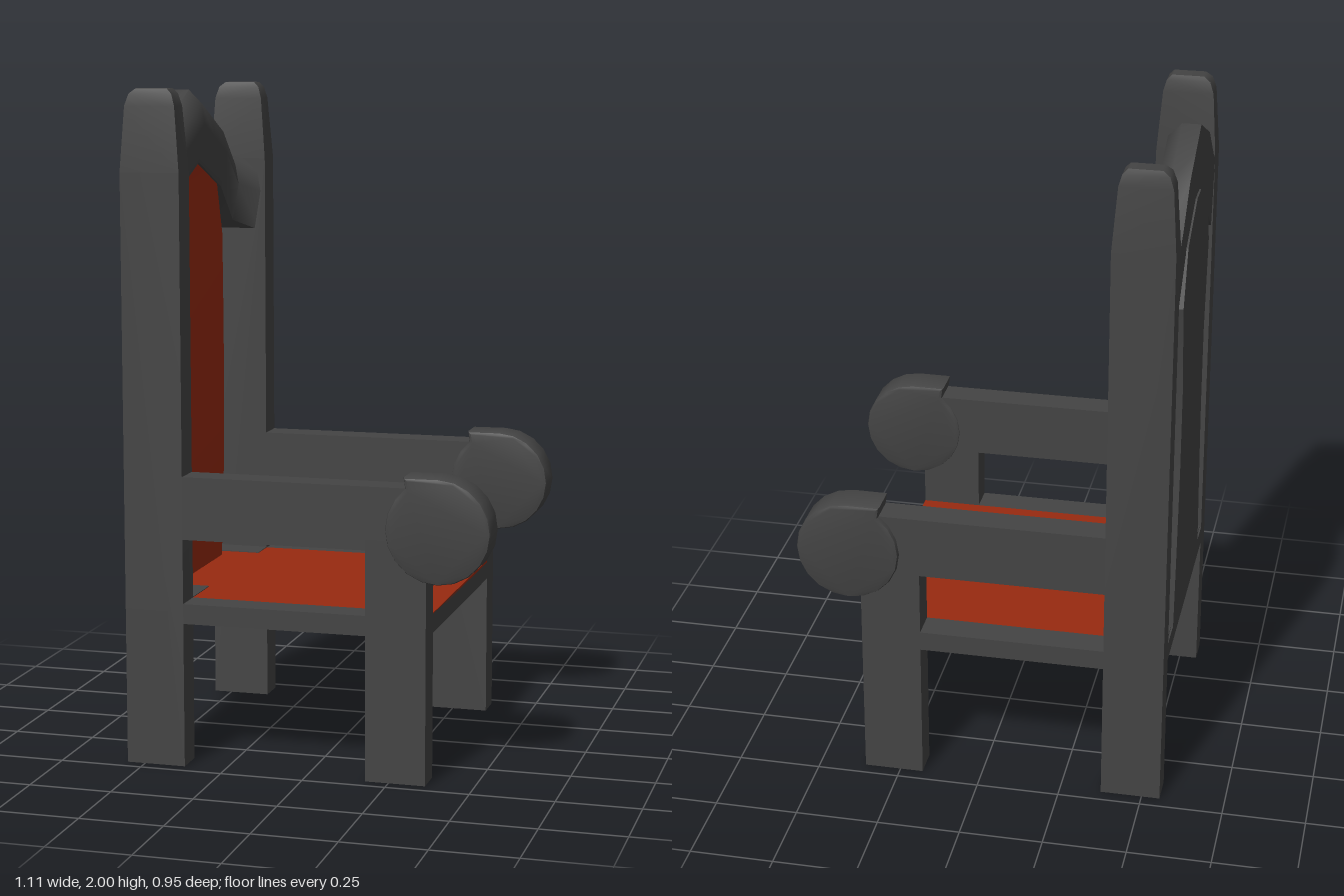
import * as THREE from 'three';
import { toCreasedNormals } from 'three/addons/utils/BufferGeometryUtils.js';

const frameMat = new THREE.MeshStandardMaterial({ color: 0x444444 });
const redMat = new THREE.MeshStandardMaterial({ color: 0x982a10 });

function add(parent, name, geometry, material = frameMat) {
  const mesh = new THREE.Mesh(geometry, material);
  mesh.name = name;
  parent.add(mesh);
  return mesh;
}

// Box given by its limits on each axis
function block(x0, x1, y0, y1, z0, z1) {
  return new THREE.BoxGeometry(x1 - x0, y1 - y0, z1 - z0)
    .translate((x0 + x1) / 2, (y0 + y1) / 2, (z0 + z1) / 2);
}

// Skin over equal-sized rings of [x, y, z] points, capped at both ends
function loft(rings, crease = 0.7) {
  const n = rings[0].length;
  const tris = [];
  for (let r = 0; r < rings.length - 1; r++) {
    for (let i = 0; i < n; i++) {
      const j = (i + 1) % n;
      const [a, b, c, d] = [rings[r][i], rings[r][j], rings[r + 1][j], rings[r + 1][i]];
      tris.push([a, b, c], [a, c, d]);
    }
  }
  const last = rings[rings.length - 1];
  for (let i = 1; i < n - 1; i++) {
    tris.push([rings[0][0], rings[0][i + 1], rings[0][i]], [last[0], last[i], last[i + 1]]);
  }
  // Turn all faces outward, judged by the enclosed volume
  const v = (p) => new THREE.Vector3(...p);
  const volume = tris.reduce((s, [a, b, c]) => s + v(a).dot(v(b).cross(v(c))), 0);
  if (volume < 0) tris.forEach((t) => t.reverse());
  const geometry = new THREE.BufferGeometry();
  geometry.setAttribute('position', new THREE.Float32BufferAttribute(tris.flat(2), 3));
  return toCreasedNormals(geometry, crease);
}

// Tall rear post with a tapered, rounded top
function postGeometry() {
  const levels = [
    [0, -0.555, -0.375, 0.37, 0.46],
    [1.76, -0.555, -0.375, 0.37, 0.46],
    [1.95, -0.542, -0.39, 0.38, 0.45],
    [1.985, -0.53, -0.4, 0.385, 0.445],
    [2.0, -0.51, -0.415, 0.39, 0.44],
  ];
  return loft(levels.map(([y, x0, x1, z0, z1]) =>
    [[x0, y, z0], [x1, y, z0], [x1, y, z1], [x0, y, z1]]));
}

// Round arm end with a small step where it meets the arm's top
function scrollGeometry() {
  const r = 0.145, bevel = 0.01;
  const points = [];
  for (let i = 0; i < 20; i++) {
    const a = (i / 20) * Math.PI * 2;
    if (i === 6) points.push(new THREE.Vector2(-0.09, r));
    else points.push(new THREE.Vector2(Math.cos(a) * r, Math.sin(a) * r));
  }
  const geometry = new THREE.ExtrudeGeometry(new THREE.Shape(points), {
    depth: 0.09, bevelEnabled: true, bevelSize: bevel, bevelThickness: bevel, bevelSegments: 2,
  });
  return toCreasedNormals(geometry.translate(0.395, 0.754, 0.375), 0.6);
}

// Arched top rail, flaring forward where it joins the posts
function crestGeometry() {
  const half = [[0.38, 1.53, 1.75, -0.375], [0.33, 1.565, 1.78, -0.45],
    [0.21, 1.68, 1.89, -0.45], [0.1, 1.725, 1.94, -0.45]];
  const stations = [
    ...half,
    [0, 1.765, 1.985, -0.45],
    ...half.map(([z, ...rest]) => [-z, ...rest]).reverse(),
  ];
  return loft(stations.map(([z, y0, y1, front]) => [
    [-0.55, y0, z], [-0.555, y1, z], [front - 0.05, y1, z],
    [front - 0.01, y1 - 0.04, z], [front, y1 - 0.1, z], [front - 0.02, y0, z],
  ]), 0.9);
}

// Waisted backrest levels: height, half width, cushion half width, front x
const backLevels = [
  [0.49, 0.275, 0.225, -0.485],
  [0.75, 0.25, 0.21, -0.472],
  [1.0, 0.23, 0.2, -0.465],
  [1.25, 0.23, 0.2, -0.465],
  [1.53, 0.275, 0.225, -0.475],
  [1.69, 0.21, 0.19, -0.48],
  [1.775, 0.04, 0.03, -0.482],
];

function backShellGeometry() {
  return loft(backLevels.map(([y, w, c, x]) => [
    [-0.556, y, -w], [-0.556, y, w], [x - 0.025, y, w],
    [x, y, c], [x, y, -c], [x - 0.025, y, -w],
  ]), 0.4);
}

function backCushionGeometry() {
  return loft(backLevels.map(([y, , c, x]) => [
    [x - 0.01, y, -c], [x - 0.01, y, c], [x + 0.004, y, c], [x + 0.004, y, -c],
  ]), 0.4);
}

export function createModel() {
  const model = new THREE.Group();
  model.name = 'armchair';

  // Seat board, red cushion face, and the bare corners by the backrest
  add(model, 'seatBoard', block(-0.555, 0.36, 0.435, 0.492, -0.37, 0.37));
  add(model, 'seatCushion', block(-0.5, 0.36, 0.488, 0.495, -0.37, 0.37), redMat);
  add(model, 'seatCornerLeft', block(-0.55, -0.375, 0.488, 0.497, 0.22, 0.37));
  add(model, 'seatCornerRight', block(-0.55, -0.375, 0.488, 0.497, -0.37, -0.28));

  // Backrest
  add(model, 'backShell', backShellGeometry());
  add(model, 'backCushion', backCushionGeometry(), redMat);
  add(model, 'crestRail', crestGeometry());

  // Posts, legs, rails and arms on both sides
  const parts = {
    rearPost: postGeometry(),
    frontLeg: block(0.18, 0.36, 0, 0.72, 0.37, 0.46),
    sideRail: block(-0.4, 0.2, 0.435, 0.495, 0.37, 0.46),
    arm: block(-0.4, 0.36, 0.688, 0.875, 0.37, 0.46),
    armScroll: scrollGeometry(),
  };
  for (const side of [1, -1]) {
    const group = new THREE.Group();
    group.name = side > 0 ? 'leftSide' : 'rightSide';
    for (const [name, geometry] of Object.entries(parts)) add(group, name, geometry);
    group.scale.z = side;
    model.add(group);
  }
  return model;
}
